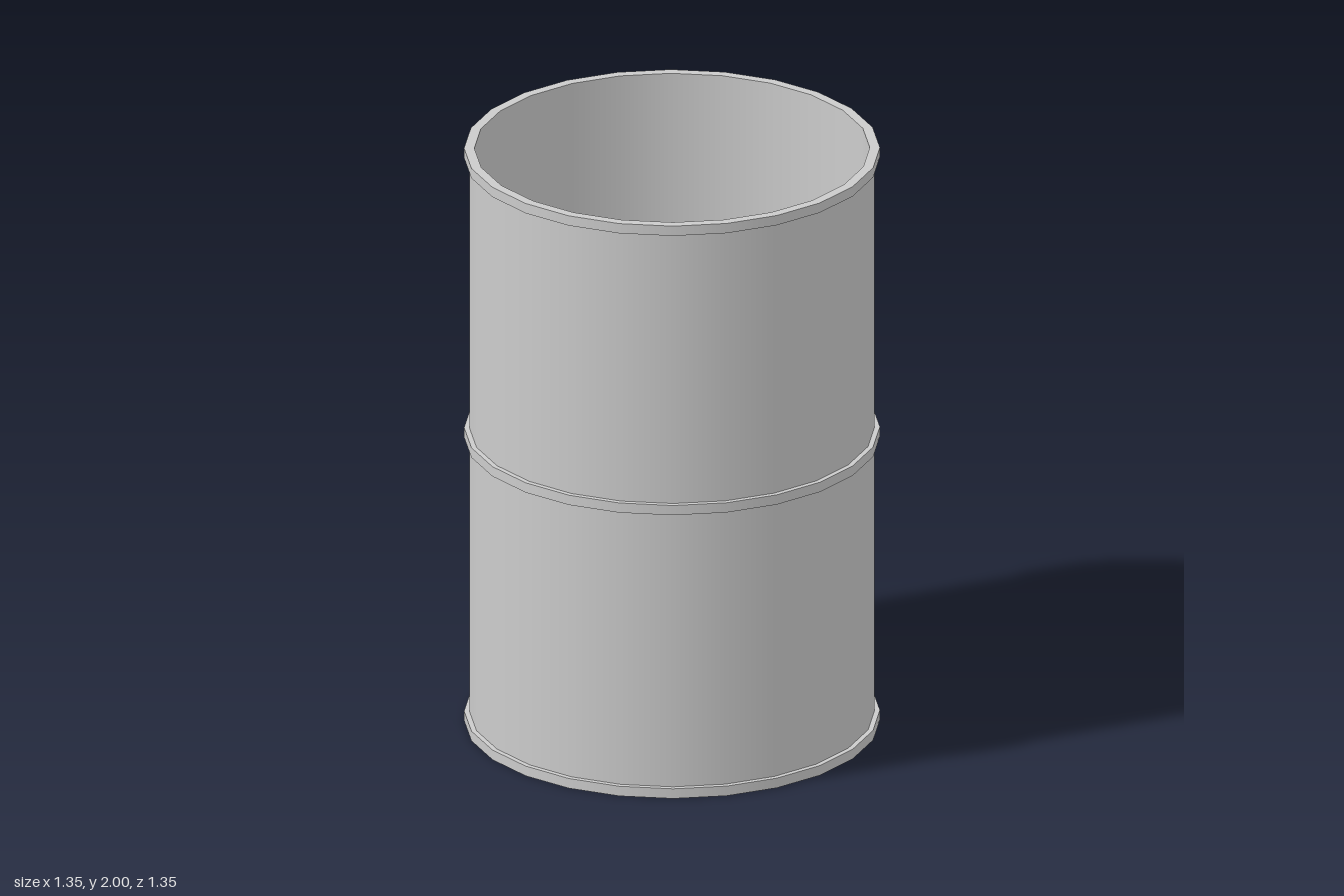
import * as THREE from 'three';
import { mergeGeometries } from 'three/addons/utils/BufferGeometryUtils.js';

const SIDES = 24;
const INNER = 0.64, WALL = 0.656, HOOP = 0.673;
const HEIGHT = 2, BAND = 0.034, MID = 0.99;

const material = new THREE.MeshStandardMaterial({ color: 0xcccccc });

// Revolves a profile; each straight run is its own strip, so it is smooth around and sharp at corners.
function revolve(name, profile) {
  const strips = profile.slice(1).map((end, i) => new THREE.LatheGeometry(
    [new THREE.Vector2(...profile[i]), new THREE.Vector2(...end)], SIDES));
  const mesh = new THREE.Mesh(mergeGeometries(strips), material);
  mesh.name = name;
  return mesh;
}

export function createModel() {
  const barrel = new THREE.Group();
  barrel.name = 'openBarrel';

  // Flat underside with the bottom hoop around it
  barrel.add(revolve('bottomHoop', [[0, 0], [HOOP, 0], [HOOP, BAND], [WALL, BAND]]));

  // Outer wall in two halves, split by the middle hoop
  barrel.add(revolve('lowerWall', [[WALL, BAND], [WALL, MID]]));
  barrel.add(revolve('middleHoop', [
    [WALL, MID], [HOOP, MID], [HOOP, MID + BAND], [WALL, MID + BAND]]));
  barrel.add(revolve('upperWall', [[WALL, MID + BAND], [WALL, HEIGHT - BAND]]));

  // Top hoop and rim
  barrel.add(revolve('topHoop', [
    [WALL, HEIGHT - BAND], [HOOP, HEIGHT - BAND], [HOOP, HEIGHT], [INNER, HEIGHT]]));

  // Inside wall and floor
  barrel.add(revolve('interior', [[INNER, HEIGHT], [INNER, BAND], [0, BAND]]));

  return barrel;
}
